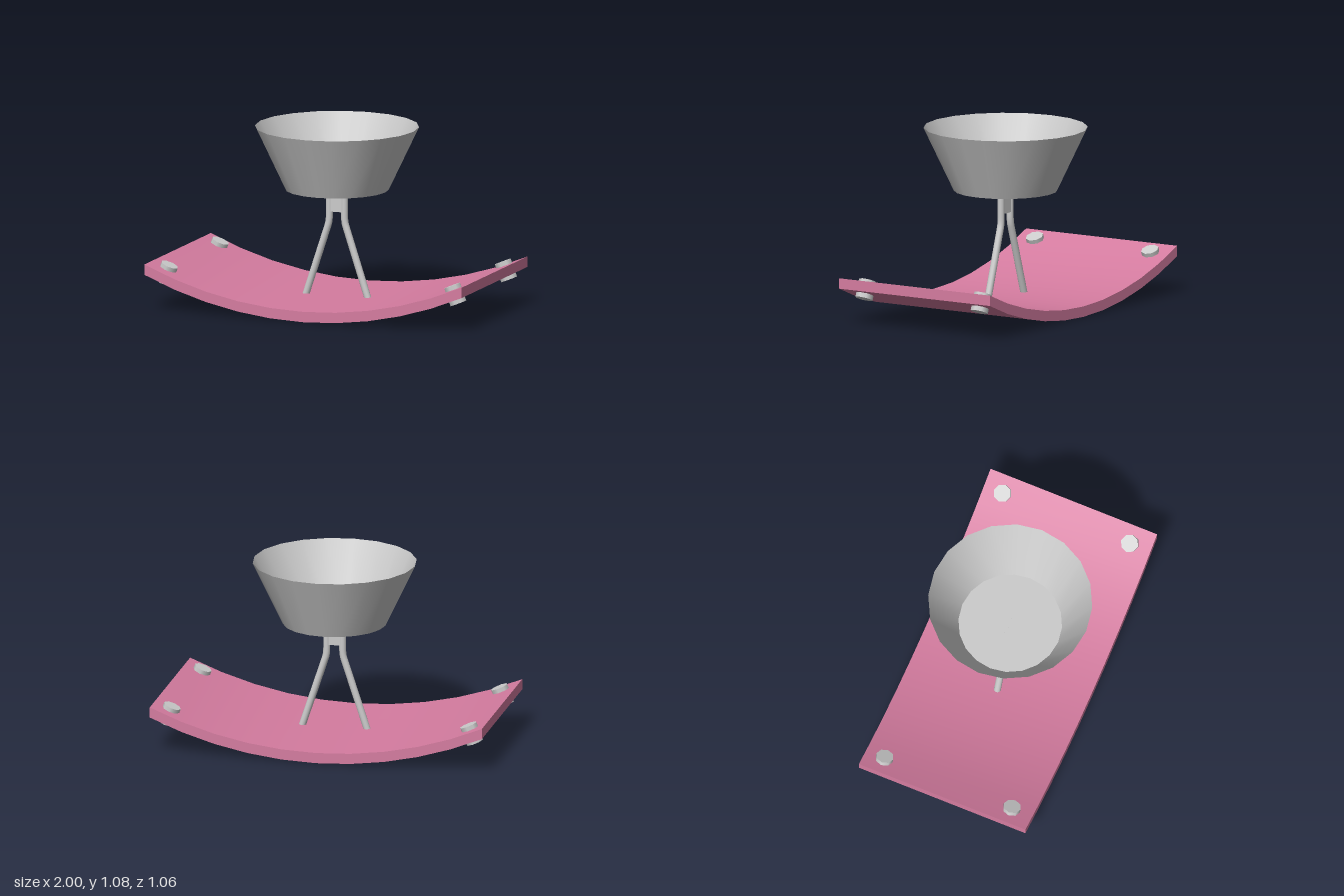
import * as THREE from 'three';
import { toCreasedNormals } from 'three/addons/utils/BufferGeometryUtils.js';

const CX = 0.01, CZ = 0.01; // slight offset of the bowl and its stand

export function createModel() {
  const model = new THREE.Group();
  model.name = 'bowlOnCurvedBase';
  const grey = new THREE.MeshStandardMaterial({ color: 0xcccccc });
  const greyThin = new THREE.MeshStandardMaterial({ color: 0xcccccc, side: THREE.DoubleSide });
  const pink = new THREE.MeshStandardMaterial({ color: 0xd57ca0 });

  const add = (name, geometry, material, x = 0, y = 0, z = 0) => {
    const mesh = new THREE.Mesh(geometry, material);
    mesh.name = name;
    mesh.position.set(x, y, z);
    model.add(mesh);
    return mesh;
  };

  // Curved base plate: an arc of ten segments with vertical ends
  const R = 2.45, half = Math.asin(1 / R), steps = 10, thick = 0.062, depth = 1.06;
  const arc = [];
  for (let i = 0; i <= steps; i++) {
    const a = -half + (2 * half * i) / steps;
    arc.push(new THREE.Vector2(R * Math.sin(a), R * (1 - Math.cos(a))));
  }
  const upper = arc.map((p) => new THREE.Vector2(p.x, p.y + thick)).reverse();
  const plate = new THREE.ExtrudeGeometry(new THREE.Shape([...arc, ...upper]), {
    depth, bevelEnabled: false,
  });
  plate.translate(0, 0, -depth / 2);
  add('basePlate', toCreasedNormals(plate, 0.4), pink);

  // Bolt heads on both faces of the plate at its corners, tilted with the curve
  const head = new THREE.CylinderGeometry(0.053, 0.053, 0.03, 8);
  for (const s of [-1, 1]) {
    for (const z of [-0.41, 0.4]) {
      add('boltHeadTop', head, grey, s * 0.896, 0.245, z).rotation.z = s * 0.39;
      add('boltHeadBottom', head, grey, s * 0.925, 0.169, z).rotation.z = s * 0.39;
    }
  }

  // Two bent legs, splayed at the foot and parallel at the top
  for (const s of [-1, 1]) {
    const path = new THREE.CurvePath();
    const p = (x, y) => new THREE.Vector3(CX + s * x, y, CZ);
    path.add(new THREE.LineCurve3(p(0.202, 0.045), p(0.055, 0.49)));
    path.add(new THREE.QuadraticBezierCurve3(p(0.055, 0.49), p(0.048, 0.515), p(0.048, 0.545)));
    path.add(new THREE.LineCurve3(p(0.048, 0.545), p(0.048, 0.706)));
    add(s < 0 ? 'rightLeg' : 'leftLeg', new THREE.TubeGeometry(path, 40, 0.021, 12), greyThin);
  }

  // Small block joining the legs below the bowl
  add('legConnector', new THREE.BoxGeometry(0.07, 0.12, 0.03), grey, CX, 0.63, CZ);

  // Open tapered bowl: wall and floor
  const yLow = 0.705, yTop = 1.08;
  add('bowlWall', new THREE.CylinderGeometry(0.483, 0.305, yTop - yLow, 20, 1, true),
    greyThin, CX, (yLow + yTop) / 2, CZ);
  const floor = new THREE.CircleGeometry(0.305, 20).rotateX(-Math.PI / 2);
  add('bowlFloor', floor, greyThin, CX, yLow, CZ);

  return model;
}
